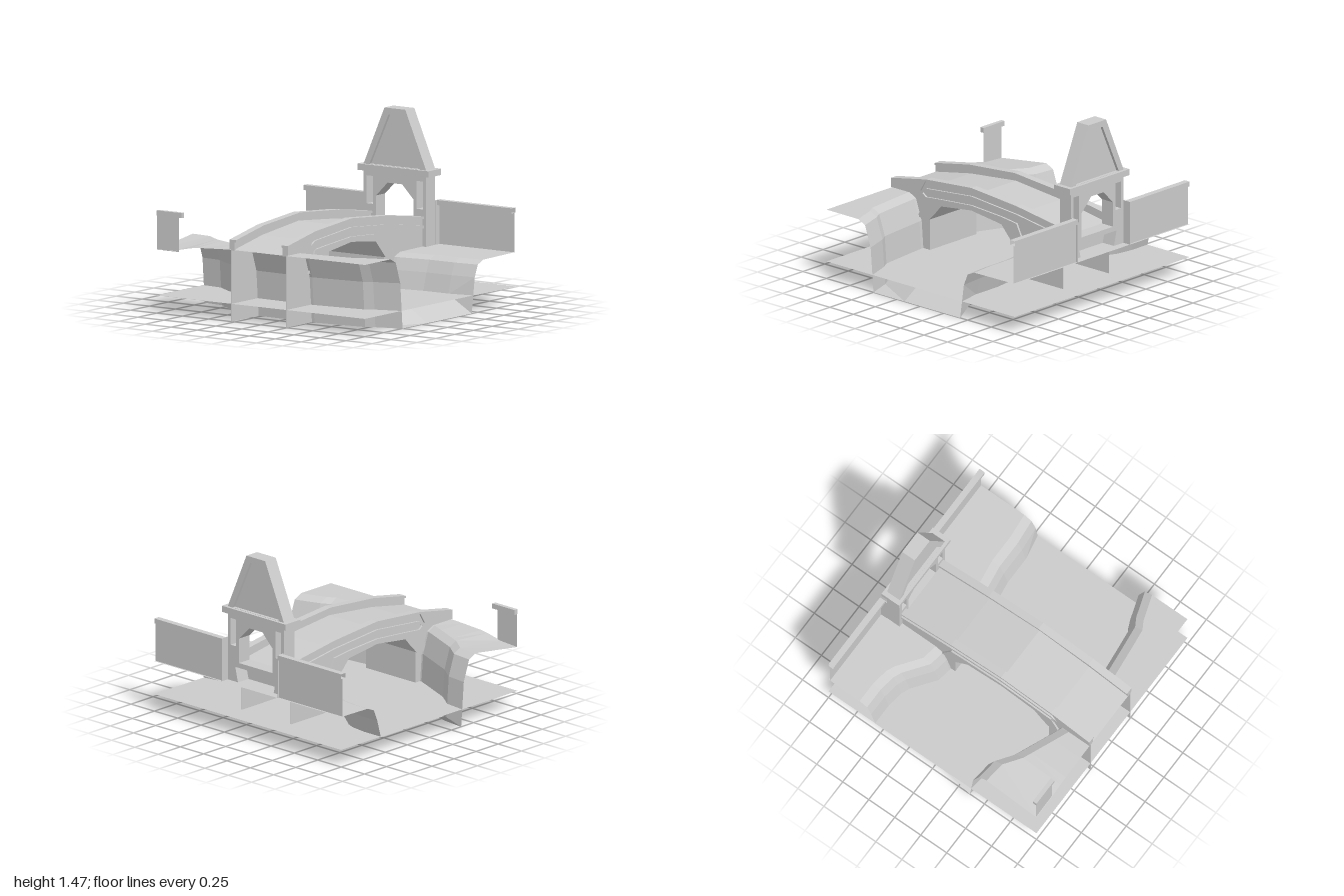
import * as THREE from 'three';

const mat = new THREE.MeshStandardMaterial({ color: 0xcccccc, flatShading: true, side: THREE.DoubleSide });

function add(parent, name, geometry) {
  const m = new THREE.Mesh(geometry, mat);
  m.name = name;
  parent.add(m);
  return m;
}

// Box given by its limits on each axis
function box(parent, name, x0, x1, y0, y1, z0, z1) {
  const m = add(parent, name, new THREE.BoxGeometry(x1 - x0, y1 - y0, z1 - z0));
  m.position.set((x0 + x1) / 2, (y0 + y1) / 2, (z0 + z1) / 2);
  return m;
}

// Sheet through rows of points; every row has the same number of points
function sheet(rows) {
  const n = rows[0].length, index = [];
  for (let r = 0; r < rows.length - 1; r++) {
    for (let i = 0; i < n - 1; i++) {
      const a = r * n + i, b = a + n;
      index.push(a, a + 1, b, a + 1, b + 1, b);
    }
  }
  const g = new THREE.BufferGeometry();
  g.setAttribute('position', new THREE.Float32BufferAttribute(rows.flat(2), 3));
  g.setIndex(index);
  const flat = g.toNonIndexed();
  flat.computeVertexNormals();
  return flat;
}

// Open strip following an x-y line from z0 to z1, upper side out for lines running towards +x
const strip = (pts, z0, z1) => sheet([z0, z1].map(z => pts.map(([x, y]) => [x, y, z]).reverse()));

const toShape = pts => new THREE.Shape(pts.map(p => new THREE.Vector2(...p)));
const toHole = pts => new THREE.Path(pts.map(p => new THREE.Vector2(...p)));

// Outline in x-y, pushed from z0 to z1
function slabZ(parent, name, pts, z0, z1) {
  const g = new THREE.ExtrudeGeometry(toShape(pts), { depth: z1 - z0, bevelEnabled: false });
  g.translate(0, 0, z0);
  return add(parent, name, g);
}

// Outline in offset-from-gate-centre and y, pushed from x0 to x1
function slabX(parent, name, pts, holes, x0, x1) {
  const s = toShape(pts);
  s.holes = holes.map(toHole);
  const g = new THREE.ExtrudeGeometry(s, { depth: x1 - x0, bevelEnabled: false });
  g.rotateY(Math.PI / 2).translate(x0, 0, -0.02);
  return add(parent, name, g);
}

// Closed band between an upper and a lower line
const band = (top, low) => [...top, ...[...low].reverse()];
const lower = (line, d) => line.map(([x, y]) => [x, y - d]);

function buildTerrain(group) {
  const g = new THREE.Group();
  g.name = 'terrain';
  group.add(g);
  // z, foot of the high bank, foot of the low bank, height at the outer edge
  const stations = [
    [-1, -0.36, 0.55, 0.5], [-0.82, -0.38, 0.55, 0.51], [-0.68, -0.48, 0.53, 0.54], [-0.61, -0.51, 0.5, 0.55],
    [-0.42, -0.59, 0.36, 0.56], [-0.3, -0.64, 0.34, 0.565], [0.27, -0.66, 0.36, 0.565],
    [0.55, -0.63, 0.4, 0.565], [0.72, -0.61, 0.4, 0.565], [0.79, -0.57, 0.4, 0.565], [1, -0.5, 0.42, 0.565],
  ];
  const rows = stations.map(([z, l, r, edge]) => {
    const bed = z === 1 ? 0 : 0.135;
    return [[-1, edge], [l - 0.16, 0.565], [l - 0.09, 0.53], [l - 0.03, 0.36], [l, 0],
      [-0.17, bed], [r, bed], [r + 0.04, 0.28], [r + 0.08, 0.375], [r + 0.15, 0.405], [1, 0.41],
    ].map(([x, y]) => [x, y, z]).reverse();
  });
  add(g, 'riverBanks', sheet(rows));
  const water = new THREE.PlaneGeometry(2, 2).rotateX(-Math.PI / 2).translate(0, 0.14, 0);
  add(g, 'waterSurface', water);
}

function buildBridge(group) {
  const g = new THREE.Group();
  g.name = 'bridge';
  group.add(g);
  const zF = 0.26, zB = -0.3;
  const rail = [[-1, 0.645], [-0.63, 0.715], [-0.15, 0.755], [0.33, 0.715], [0.81, 0.645]];
  const deck = [[-1, 0.57], [-0.63, 0.64], [-0.15, 0.69], [0.33, 0.645], [0.81, 0.57]];
  const moulding = [[-0.69, 0.61], [-0.63, 0.64], [-0.15, 0.685], [0.33, 0.645], [0.81, 0.575]];
  const arch = [[-0.6, 0], [-0.6, 0.39], [-0.47, 0.53], [-0.15, 0.57], [0.17, 0.53], [0.3, 0.39], [0.3, 0.1]];
  const rib = [[-0.72, 0.39], [-0.63, 0.57], [-0.47, 0.585], [-0.15, 0.61], [0.17, 0.59], [0.33, 0.57], [0.42, 0.39]];
  const ribLow = [[-0.6, 0.39], [-0.53, 0.46], ...arch.slice(2, 5), [0.235, 0.46], [0.3, 0.39]];
  const spandrel = [...rail, [0.81, 0.1], ...[...arch].reverse(), [-1, 0]];

  for (const [side, out, dir] of [['front', zF, 1], ['back', zB, -1]]) {
    const layer = (name, pts, a, b) => {
      const p = out - dir * a, q = out - dir * b;
      slabZ(g, side + name, pts, Math.min(p, q), Math.max(p, q));
    };
    layer('SideWall', spandrel, 0.015, 0.02);
    layer('ParapetCore', band(rail, lower(deck, 0.01)), 0.015, 0.05);
    layer('Rail', band(rail, lower(rail, 0.018)), 0, 0.063);
    layer('Moulding', band(moulding, lower(moulding, 0.025)), 0, 0.015);
    layer('ArchRib', band(rib, ribLow), 0, 0.015);
    layer('EndPanel', [[-1, 0.645], [-0.63, 0.715], [-0.69, 0.61], [-0.63, 0.57], [-1, 0.57]], 0, 0.015);
  }
  // Roadway and the underside of the arch
  add(g, 'roadway', strip(deck, zB + 0.018, zF - 0.018));
  add(g, 'archUnderside', strip(arch, zB + 0.018, zF - 0.018));
  box(g, 'roadwayEnd', 0.79, 0.93, 0.53, 0.57, -0.24, 0.2);
  box(g, 'roadwayFooting', 0.79, 0.81, 0.4, 0.53, -0.23, 0.19);
}

function buildGate(group) {
  const g = new THREE.Group();
  g.name = 'gateTower';
  group.add(g);
  // Two pierced piers joined by an angular arch, on splayed bases
  const slot = s => [[s * 0.21, 0.7], [s * 0.27, 0.7], [s * 0.27, 0.92], [s * 0.21, 0.92]];
  slabX(g, 'gatePiers', [[-0.3, 0.57], [-0.18, 0.57], [-0.18, 0.77], [-0.07, 0.88], [0.07, 0.88], [0.18, 0.77],
    [0.18, 0.57], [0.3, 0.57], [0.3, 0.96], [-0.3, 0.96]], [slot(-1), slot(1)], 0.81, 0.93);
  for (const s of [-1, 1]) {
    const base = [[0.3, 0.405], [0.3, 0.57], [0.18, 0.57], [0.22, 0.53], [0.19, 0.405]];
    slabX(g, s > 0 ? 'backPierBase' : 'frontPierBase', base.map(([z, y]) => [s * z, y]), [], 0.81, 0.93);
  }
  box(g, 'cornice', 0.785, 0.955, 0.96, 1.01, -0.36, 0.32);
  // Tapered top with a recessed panel on both faces
  const taper = (b, y0, t, y1) => [[-b, y0], [b, y0], [t, y1], [-t, y1]];
  const panel = taper(0.245, 1.012, 0.06, 1.42);
  slabX(g, 'towerFrame', taper(0.3, 1.01, 0.1, 1.47), [panel], 0.81, 0.93);
  slabX(g, 'towerPanel', panel, [], 0.835, 0.905);
}

function buildWalls(group) {
  const g = new THREE.Group();
  g.name = 'boundaryWalls';
  group.add(g);
  // Thin walls with a hollow coping, closed by a plate beside the gate
  const coping = [[0.985, 0.72], [0.95, 0.72], [0.95, 0.76], [1, 0.76], [1, 0.72], [0.985, 0.72]];
  for (const [name, z0, z1, end] of [['front', 0.28, 1, 0.28], ['back', -1, -0.32, -0.32]]) {
    add(g, name + 'Wall', strip([[0.985, 0.41], [0.985, 0.72]], z0, z1));
    add(g, name + 'WallCoping', strip(coping, z0, z1));
    box(g, name + 'WallEnd', 0.93, 1, 0.41, 0.76, end - 0.003, end + 0.003);
  }
  add(g, 'farWall', strip([[-0.995, 0.5], [-0.995, 0.77]], -1, -0.79));
  box(g, 'farWallCap', -1, -0.965, 0.77, 0.81, -1, -0.76);
}

export function createModel() {
  const group = new THREE.Group();
  group.name = 'riverBridge';
  buildTerrain(group);
  buildBridge(group);
  buildGate(group);
  buildWalls(group);
  return group;
}
